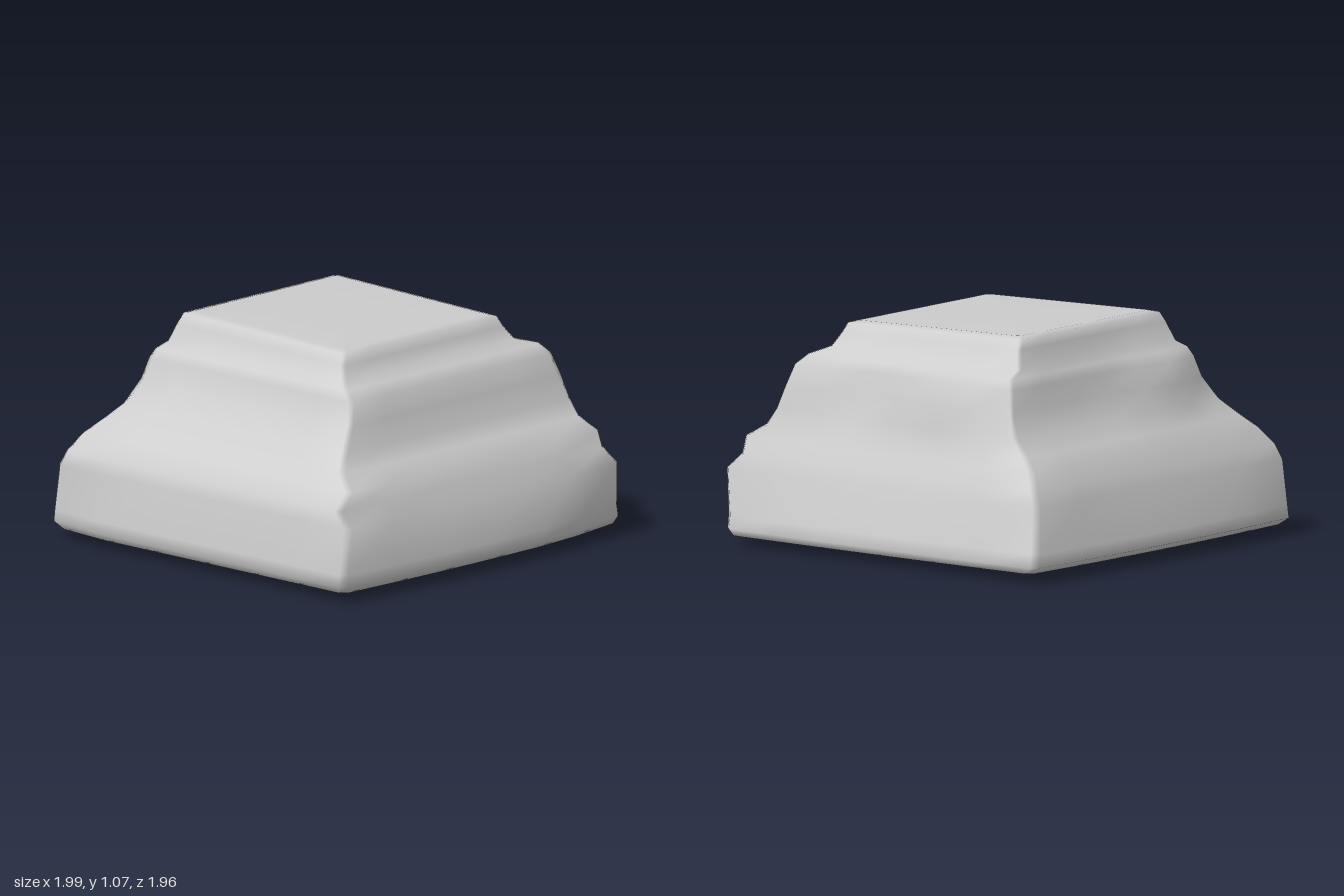
import * as THREE from 'three';

// Square tiers from the underside to the top: [y, left x, right x, back z, front z]
const TIERS = [
  [0.035, -0.3, 0.2, -0.25, 0.4],
  [0.025, -0.62, 0.5, -0.55, 0.55],
  [0.045, -0.91, 0.93, -0.95, 0.94],
  [0.08, -0.96, 0.955, -0.975, 0.97],
  [0.14, -0.95, 0.965, -0.955, 0.975],
  [0.35, -0.92, 0.95, -0.91, 0.93],
  [0.42, -0.88, 0.88, -0.88, 0.92],
  [0.5, -0.84, 0.88, -0.85, 0.85],
  [0.56, -0.78, 0.78, -0.82, 0.79],
  [0.64, -0.7, 0.73, -0.8, 0.72],
  [0.75, -0.65, 0.69, -0.77, 0.64],
  [0.85, -0.63, 0.66, -0.745, 0.605],
  [0.895, -0.61, 0.61, -0.72, 0.585],
  [0.925, -0.58, 0.55, -0.62, 0.535],
  [1.0, -0.55, 0.52, -0.58, 0.51],
  [1.045, -0.54, 0.5, -0.56, 0.48],
  [1.055, -0.5, 0.46, -0.52, 0.44],
  [1.055, -0.2, 0.2, -0.2, 0.2],
];
const STEPS = [-0.97, -0.65, -0.35, 0, 0.35, 0.65, 0.97];

const bell = (v, centre, width) => Math.exp(-(((v - centre) / width) ** 2));

// Weathering: moves a point of the tier at height y on side k (front, right, back, left)
function weather(x, y, z, k, t) {
  const wall = bell(y, 0.76, 0.14);
  const foot = bell(y, 0.12, 0.14);
  const bow = 0.035 * foot * (1 - t * t);
  let dx = 0, dy = 0, dz = 0;
  if (k === 1) dx = bow;
  if (k === 3) dx = -bow - 0.075 * wall * bell(z, 0.35, 0.22);
  if (k === 2) dz = 0.022 * wall * Math.sin(x * 7) - 0.4 * bow;
  // broken lower corners
  if (x > 0.5 && z < -0.5) dx -= 0.07 * foot * Math.min(1, (-z - 0.5) / 0.45);
  if (x < -0.6 && z > 0.6) dz -= 0.05 * foot * Math.min(1, (-x - 0.6) / 0.35);
  // two low spots under the base, and a top sloping gently to the right
  if (y < 0.04) dy = -0.025 * (bell(x, -0.62, 0.15) * bell(z, 0.1, 0.3) + bell(x, 0.45, 0.15) * bell(z, -0.5, 0.2));
  if (y > 0.95) dy = -0.025 * x;
  return [x + dx, y + dy, z + dz];
}

// One tier outline, with small chamfers at its corners
function outline([y, x0, x1, z0, z1]) {
  const cx = (x0 + x1) / 2, cz = (z0 + z1) / 2;
  const hx = (x1 - x0) / 2, hz = (z1 - z0) / 2;
  const sides = [
    (t) => [cx + t * hx, z1],
    (t) => [x1, cz - t * hz],
    (t) => [cx - t * hx, z0],
    (t) => [x0, cz + t * hz],
  ];
  return sides.flatMap((side, k) => STEPS.flatMap((t) => {
    const [x, z] = side(t);
    return weather(x, y, z, k, t);
  }));
}

function blockGeometry() {
  const n = STEPS.length * 4;
  const positions = TIERS.flatMap(outline);
  const index = [];
  for (let r = 0; r < TIERS.length - 1; r++) {
    for (let i = 0; i < n; i++) {
      const j = (i + 1) % n;
      const a = r * n + i, b = r * n + j, c = a + n, d = b + n;
      index.push(a, b, d, a, d, c);
    }
  }
  // underside and top centres
  const last = (TIERS.length - 1) * n;
  const bottom = positions.length / 3;
  positions.push(0, 0.035, 0, 0, 1.055, 0);
  for (let i = 0; i < n; i++) {
    const j = (i + 1) % n;
    index.push(bottom, j, i, bottom + 1, last + i, last + j);
  }
  const geometry = new THREE.BufferGeometry();
  geometry.setAttribute('position', new THREE.Float32BufferAttribute(positions, 3));
  geometry.setIndex(index);
  geometry.computeVertexNormals();
  return geometry;
}

export function createModel() {
  const group = new THREE.Group();
  group.name = 'weatheredPlinth';
  const stone = new THREE.Mesh(blockGeometry(), new THREE.MeshStandardMaterial({ color: 0xcccccc }));
  stone.name = 'steppedStoneBlock';
  group.add(stone);
  return group;
}
